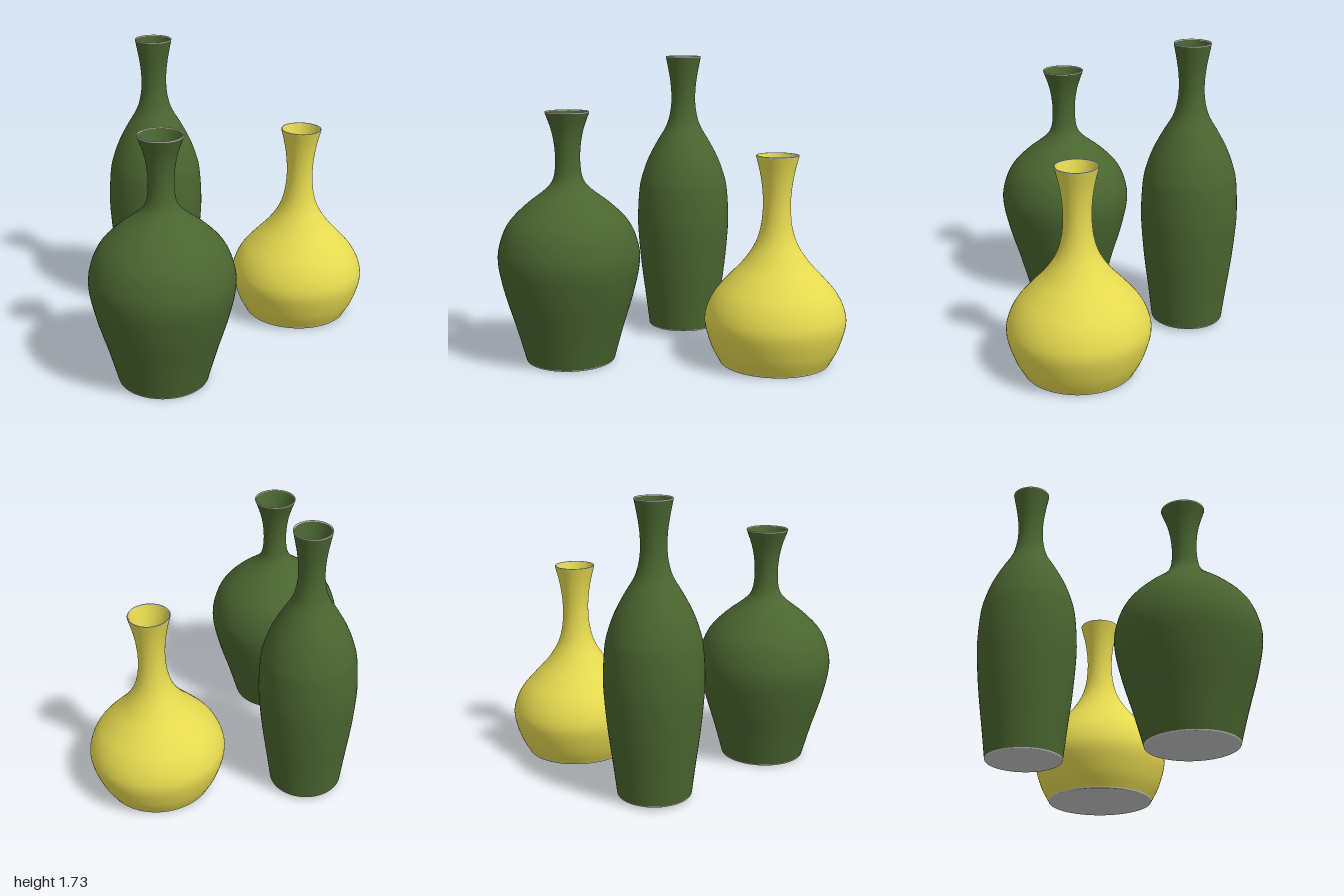
import * as THREE from 'three';

const SEGMENTS = 72;
const WALL = 0.007;

// Each profile runs from the foot up to the lip as [radius, height].
const VASES = [
  {
    name: 'roundShoulderVase', color: 0x4a6530, x: -0.595, z: 0.295,
    profile: [[0.257, 0.008], [0.31, 0.2], [0.37, 0.4], [0.406, 0.58], [0.392, 0.7], [0.342, 0.81],
      [0.245, 0.91], [0.13, 1.0], [0.085, 1.06], [0.071, 1.15], [0.075, 1.25], [0.092, 1.34], [0.125, 1.435]],
  },
  {
    name: 'tallVase', color: 0x4a6530, x: 0.037, z: -0.415,
    profile: [[0.217, 0.023], [0.239, 0.2], [0.265, 0.4], [0.282, 0.58], [0.288, 0.72], [0.277, 0.9],
      [0.254, 1.0], [0.216, 1.1], [0.163, 1.2], [0.105, 1.3], [0.079, 1.4], [0.075, 1.5], [0.085, 1.6], [0.108, 1.723]],
  },
  {
    name: 'gourdVase', color: 0xe6da50, x: 0.59, z: 0.293,
    profile: [[0.32, 0.008], [0.368, 0.1], [0.405, 0.23], [0.394, 0.32], [0.348, 0.41], [0.27, 0.5],
      [0.187, 0.59], [0.122, 0.69], [0.09, 0.79], [0.079, 0.9], [0.083, 1.0], [0.098, 1.1], [0.121, 1.193]],
  },
];

function lathe(name, points, material) {
  const mesh = new THREE.Mesh(new THREE.LatheGeometry(points, SEGMENTS), material);
  mesh.name = name;
  return mesh;
}

function createVase({ name, color, x, z, profile }) {
  const glaze = new THREE.MeshStandardMaterial({ color });
  const grey = new THREE.MeshStandardMaterial({ color: 0xcccccc });
  const outer = new THREE.SplineCurve(profile.map(([r, y]) => new THREE.Vector2(r, y))).getPoints(64);

  // Inner wall: the outer curve moved inward along its normal, running downward
  const inner = outer.map((p, i) => {
    const t = outer[Math.min(i + 1, 64)].clone().sub(outer[Math.max(i - 1, 0)]).normalize();
    return new THREE.Vector2(p.x - t.y * WALL, p.y + t.x * WALL);
  }).reverse();

  const foot = outer[0], lip = outer[64], innerLip = inner[0], floor = inner[64];
  const vase = new THREE.Group();
  vase.name = name;
  vase.add(lathe('outerWall', outer, glaze), lathe('innerWall', inner, glaze));

  // Rounded lip joining the outer and inner walls
  const rim = new THREE.CubicBezierCurve(lip, new THREE.Vector2(lip.x + 0.003, lip.y + 0.009),
    new THREE.Vector2(innerLip.x, lip.y + 0.009), innerLip);
  vase.add(lathe('rim', rim.getPoints(8), grey));

  // Underside with a softened edge, and the floor inside
  const y0 = foot.y - 0.008;
  vase.add(lathe('base', [new THREE.Vector2(0, y0), new THREE.Vector2(foot.x - 0.007, y0)], grey));
  const edge = new THREE.QuadraticBezierCurve(new THREE.Vector2(foot.x - 0.007, y0),
    new THREE.Vector2(foot.x - 0.001, y0), foot);
  vase.add(lathe('baseEdge', edge.getPoints(5), grey));
  vase.add(lathe('innerFloor', [floor, new THREE.Vector2(0, floor.y)], grey));

  vase.position.set(x, 0, z);
  return vase;
}

export function createModel() {
  const group = new THREE.Group();
  group.name = 'vaseSet';
  VASES.forEach((v) => group.add(createVase(v)));
  return group;
}
